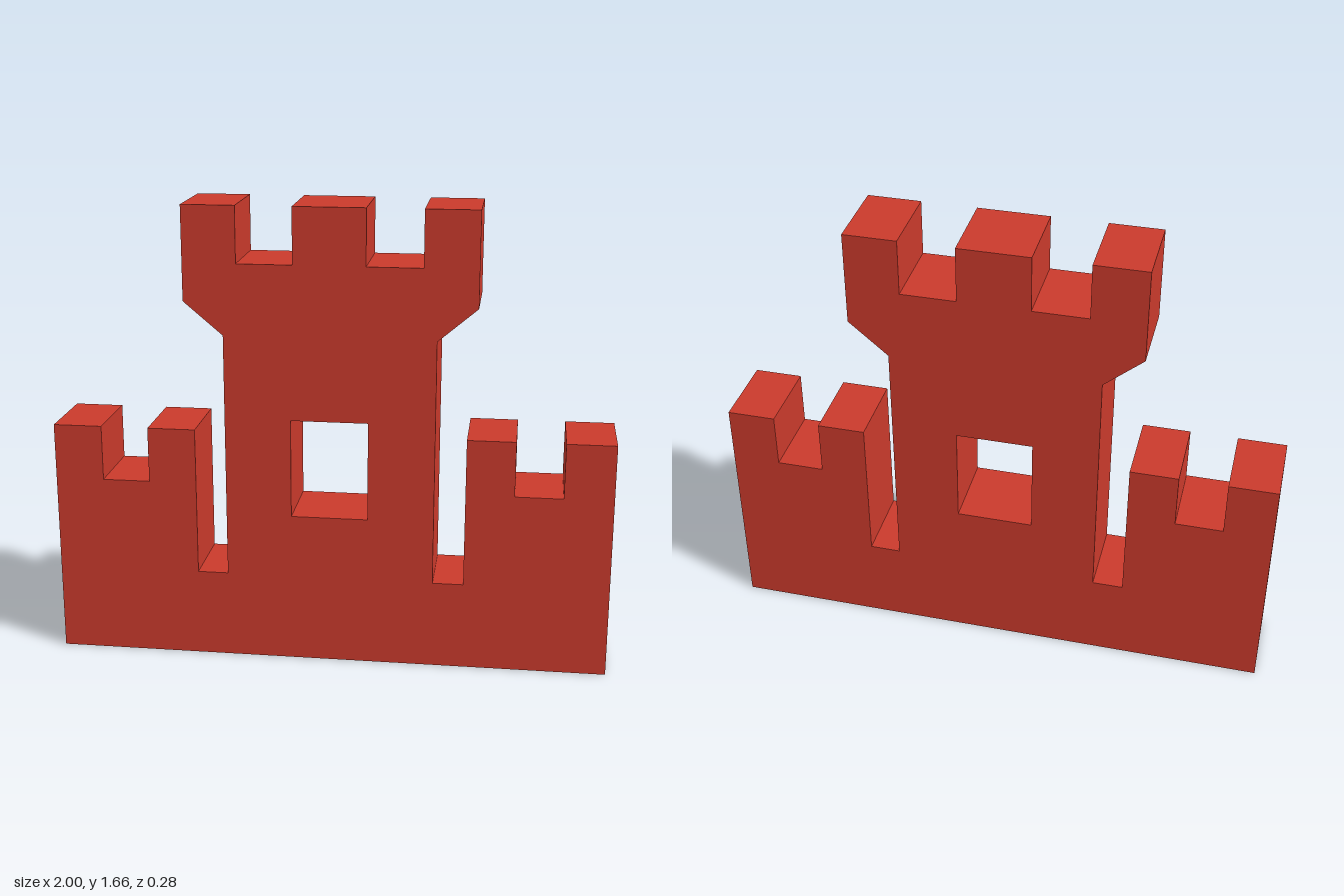
import * as THREE from 'three';

const DEPTH = 0.284;

export function createModel() {
  const group = new THREE.Group();
  group.name = 'castle';

  const red = new THREE.MeshStandardMaterial({ color: 0xcb3a2c });
  red.name = 'castle red';

  // Right half of the outline, from the base corner up to the middle merlon
  const half = [
    [1, 0], [1, 0.86], [0.825, 0.86], [0.825, 0.66], [0.655, 0.66], [0.655, 0.86], // side wall battlements
    [0.483, 0.86], [0.483, 0.32], [0.373, 0.32],                                   // slot beside the tower
    [0.373, 1.207], [0.512, 1.325], [0.512, 1.66],                                 // flared tower top
    [0.323, 1.66], [0.323, 1.46], [0.127, 1.46], [0.127, 1.66],                    // tower battlements
  ];
  const mirrored = half.map(([x, y]) => [-x, y]).reverse();
  const shape = new THREE.Shape([...half, ...mirrored].map(([x, y]) => new THREE.Vector2(x, y)));

  // Window through the tower
  const windowPoints = [[-0.137, 0.55], [-0.137, 0.907], [0.137, 0.907], [0.137, 0.55]];
  shape.holes.push(new THREE.Path(windowPoints.map(([x, y]) => new THREE.Vector2(x, y))));

  // Whole castle wall as one solid slab
  const geometry = new THREE.ExtrudeGeometry(shape, { depth: DEPTH, bevelEnabled: false });
  geometry.translate(0, 0, -DEPTH / 2);
  const wall = new THREE.Mesh(geometry, red);
  wall.name = 'castleWall';
  group.add(wall);

  return group;
}
